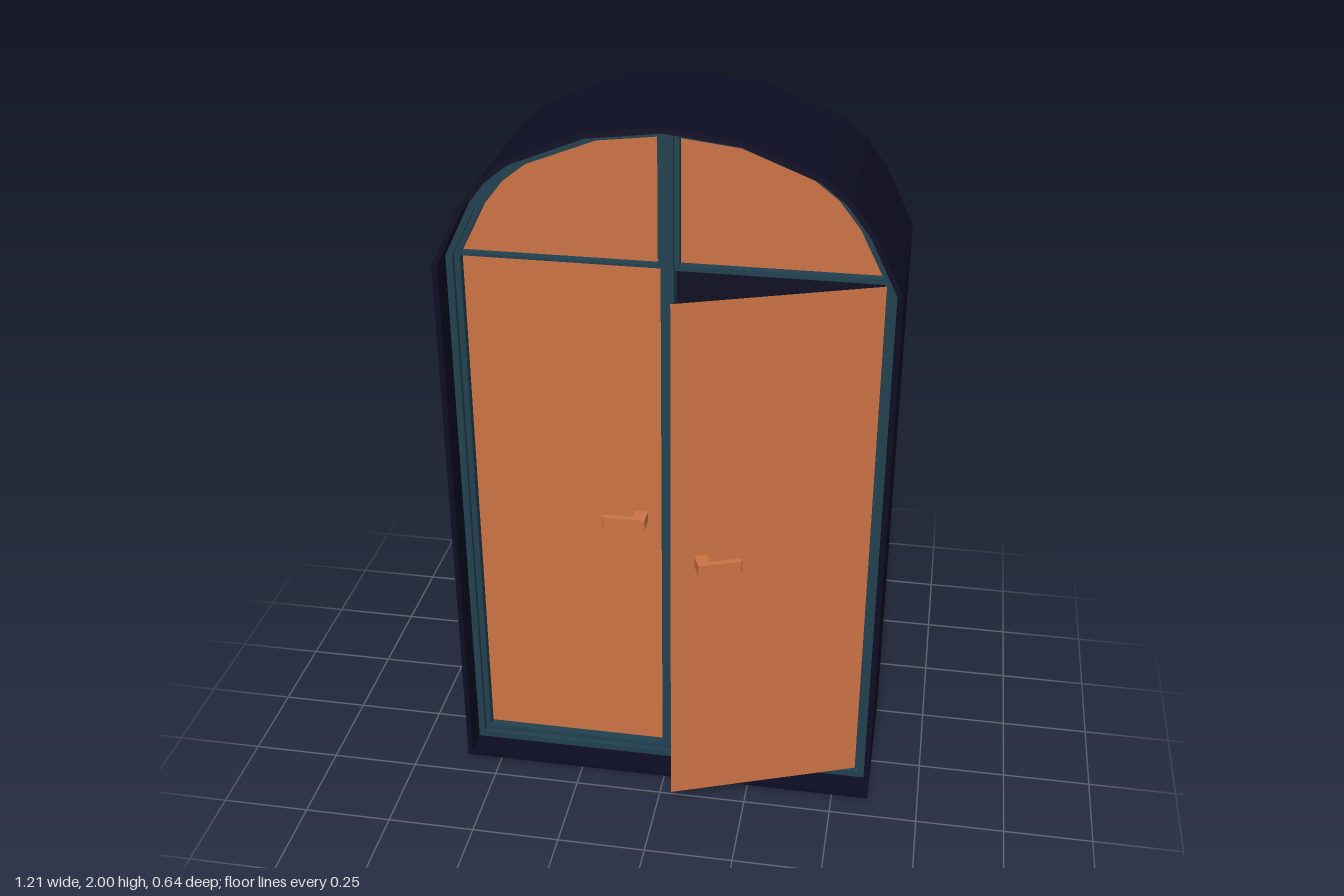
import * as THREE from 'three';

const navy = new THREE.MeshStandardMaterial({ color: 0x0d0d23 });
navy.name = 'navy casing';
const teal = new THREE.MeshStandardMaterial({ color: 0x21404f });
teal.name = 'teal frame';
const orange = new THREE.MeshStandardMaterial({ color: 0xcc7344, side: THREE.DoubleSide });
orange.name = 'orange panel';

const HALF = 0.605, SPRING = 1.6, RISE = 0.4;
const BACK = -0.325, FRONT = 0.175;
const PANEL_Z = 0.06;

// Right half of the faceted arch, from springing to crown
const ARCH = [[0.605, 1.6], [0.53, 1.755], [0.468, 1.838], [0.4, 1.893], [0.2, 1.975], [0, 2]];

// Arched outline, inset by d, starting at height y0
function outline(d, y0 = d) {
  const right = ARCH.map(([x, y]) => new THREE.Vector2(
    x * (HALF - d) / HALF, SPRING + (y - SPRING) * (RISE - d) / RISE));
  const left = right.slice(0, -1).reverse().map(p => new THREE.Vector2(-p.x, p.y));
  const pts = [...right, ...left];
  if (y0 < SPRING) {
    pts.unshift(new THREE.Vector2(HALF - d, y0));
    pts.push(new THREE.Vector2(d - HALF, y0));
  }
  return pts;
}

function mesh(name, geometry, material, parent) {
  const m = new THREE.Mesh(geometry, material);
  m.name = name;
  parent.add(m);
  return m;
}

// Solid or ring-shaped slab of the arched outline between two depths
function slab(outer, inner, z0, z1) {
  const shape = new THREE.Shape(outline(outer));
  if (inner !== null) shape.holes.push(new THREE.Path(outline(inner)));
  return new THREE.ExtrudeGeometry(shape, { depth: z1 - z0, bevelEnabled: false }).translate(0, 0, z0);
}

function box(name, x0, x1, y0, y1, z0, z1, material, parent) {
  const m = mesh(name, new THREE.BoxGeometry(x1 - x0, y1 - y0, z1 - z0), material, parent);
  m.position.set((x0 + x1) / 2, (y0 + y1) / 2, (z0 + z1) / 2);
}

// Flat leaf hung on the hinge at local x = 0, with an L-shaped lever; side is the hinge side
function makeDoor(name, side, width, y0, y1) {
  const door = new THREE.Group();
  door.name = name;
  const leaf = mesh('doorLeaf', new THREE.PlaneGeometry(width, y1 - y0), orange, door);
  leaf.position.set(-side * width / 2, (y0 + y1) / 2, 0);

  const lever = new THREE.Shape([
    [0, 0], [0.035, 0], [0.035, 0.036], [0.116, 0.036],
    [0.121, 0.041], [0.121, 0.047], [0.117, 0.052], [0, 0.052],
  ].map(([x, z]) => new THREE.Vector2(side * x, z)));
  const geo = new THREE.ExtrudeGeometry(lever, { depth: 0.032, bevelEnabled: false }).rotateX(Math.PI / 2);
  mesh('doorHandle', geo, orange, door).position.set(-side * (width - 0.065), 0.847, 0);
  return door;
}

export function createModel() {
  const model = new THREE.Group();
  model.name = 'archedDoorway';

  // Hollow casing with a closed back
  mesh('casingShell', slab(0, 0.015, BACK + 0.012, FRONT), navy, model);
  mesh('casingBack', slab(0, null, BACK, BACK + 0.012), navy, model);

  // Stepped frame
  mesh('outerFrame', slab(0.014, 0.034, 0.04, 0.1), teal, model);
  mesh('innerFrame', slab(0.033, 0.05, 0.04, 0.085), teal, model);

  // Fixed arched panel above the doors
  const fan = new THREE.ShapeGeometry(new THREE.Shape(outline(0.045, SPRING)));
  mesh('archPanel', fan, orange, model).position.z = PANEL_Z;

  // Mullion and transom ledges
  box('upperMullion', -0.028, 0.028, SPRING, 1.955, 0.04, 0.085, teal, model);
  box('upperMullionBead', -0.014, 0.014, SPRING, 1.96, 0.08, 0.097, teal, model);
  box('lowerMullion', -0.02, 0.015, 0.03, SPRING, 0.04, 0.09, teal, model);
  box('leftTransom', 0, 0.56, 1.592, 1.606, 0.04, 0.085, teal, model);
  box('rightTransom', -0.56, 0, 1.596, 1.604, 0.04, 0.085, teal, model);

  // Closed door on the right, open door on the left
  const closed = makeDoor('closedDoor', -1, 0.557, 0.035, 1.597);
  closed.position.set(-0.557, 0, PANEL_Z);
  const open = makeDoor('openDoor', 1, 0.557, 0.04, 1.59);
  open.position.set(0.56, 0, 0.09);
  open.rotation.y = THREE.MathUtils.degToRad(21);
  model.add(closed, open);

  return model;
}
